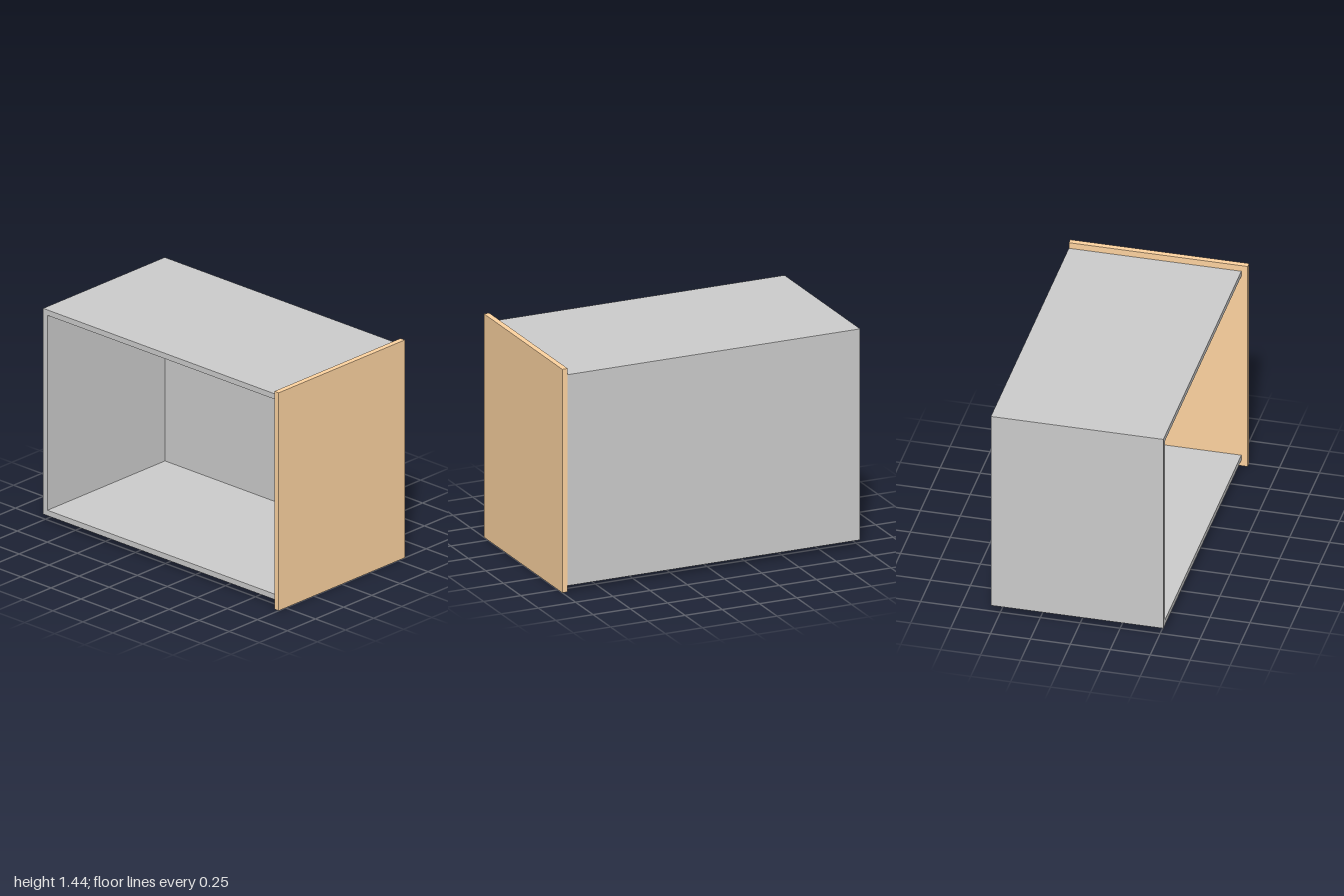
import * as THREE from 'three';

const T = 0.036; // board thickness

export function createModel() {
  const group = new THREE.Group();
  const grey = new THREE.MeshStandardMaterial({ color: 0xcccccc });
  const wood = new THREE.MeshStandardMaterial({ color: 0xfdd3a0 });

  // Board spanning the given limits on each axis
  const board = (name, [x0, x1], [y0, y1], [z0, z1], material = grey) => {
    const mesh = new THREE.Mesh(new THREE.BoxGeometry(x1 - x0, y1 - y0, z1 - z0), material);
    mesh.position.set((x0 + x1) / 2, (y0 + y1) / 2, (z0 + z1) / 2);
    mesh.name = name;
    group.add(mesh);
  };

  const right = 1 - T, bottom = 0.04, top = 1.4, back = -0.56, front = 0.52;

  // Open-fronted carcass, boards butted so no faces overlap
  board('sidePanel', [-1, -1 + T], [bottom, top], [back, front]);
  board('bottomPanel', [-1 + T, right], [bottom, bottom + T], [back, front]);
  board('topPanel', [-1 + T, right], [top - T, top], [back, front]);
  board('backPanel', [-1 + T, right], [bottom + T, top - T], [back, back + T]);

  // Oversized wooden end panel closing the +x side
  board('endPanel', [right, 1], [0, 1.44], [back, 0.56], wood);

  return group;
}
